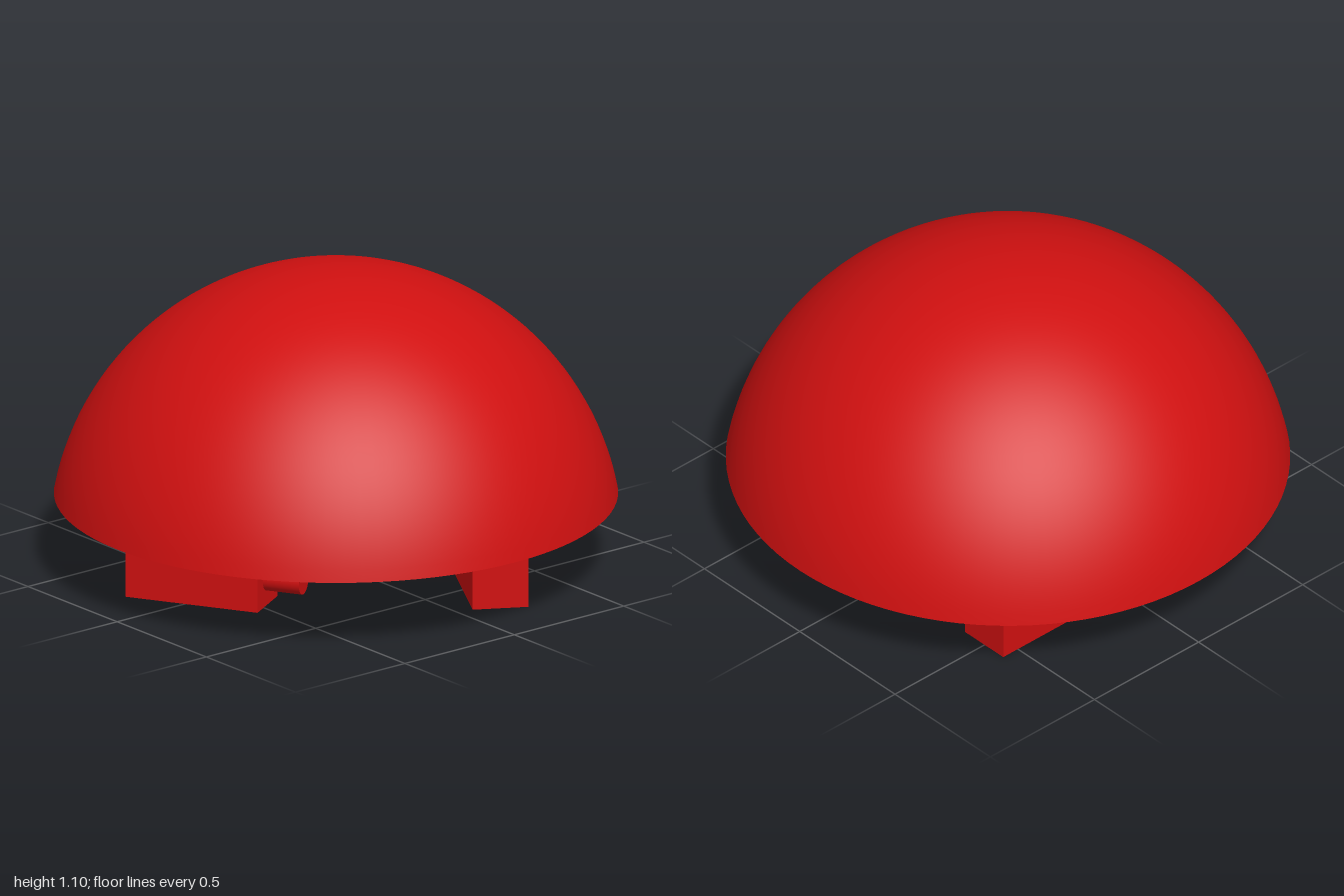
import * as THREE from 'three';

const RIM_Y = 0.27;   // height of the flat underside
const TOP_Y = 1.1;    // crown of the dome
const red = new THREE.MeshStandardMaterial({ color: 0xd01010 });

function part(name, geometry, x = 0, y = 0, z = 0) {
  const mesh = new THREE.Mesh(geometry, red);
  mesh.name = name;
  mesh.position.set(x, y, z);
  return mesh;
}

// Spherical cap of rim radius 1, swept from the rim up to the crown
function domeGeometry() {
  const h = TOP_Y - RIM_Y;
  const radius = (1 + h * h) / (2 * h);
  const start = Math.asin((radius - h) / radius);
  const profile = [];
  for (let i = 0; i <= 32; i++) {
    const a = start + (Math.PI / 2 - start) * (i / 32);
    profile.push(new THREE.Vector2(Math.max(0, radius * Math.cos(a)), TOP_Y - radius + radius * Math.sin(a)));
  }
  return new THREE.LatheGeometry(profile, 96);
}

// Box motor with a short axle sticking out of one end
function driveUnit(name) {
  const unit = new THREE.Group();
  unit.name = name;
  const cx = 0.32, cz = -0.498, length = 0.5, axle = 0.137;
  unit.add(part('motorBox', new THREE.BoxGeometry(length, RIM_Y, 0.2), cx, RIM_Y / 2, cz));
  const shaft = new THREE.CylinderGeometry(0.048, 0.048, axle, 32).rotateZ(Math.PI / 2);
  unit.add(part('axle', shaft, cx - length / 2 - axle / 2, 0.103, cz));
  return unit;
}

export function createModel() {
  const model = new THREE.Group();
  model.name = 'domedRover';

  model.add(part('dome', domeGeometry()));

  // Flat underside facing down
  model.add(part('baseDisc', new THREE.CircleGeometry(1, 96).rotateX(Math.PI / 2), 0, RIM_Y, 0));

  // Three drive units spaced evenly around the vertical axis
  ['backDrive', 'rightDrive', 'frontDrive'].forEach((name, i) => {
    const unit = driveUnit(name);
    unit.rotation.y = (i * Math.PI * 2) / 3;
    model.add(unit);
  });

  return model;
}
